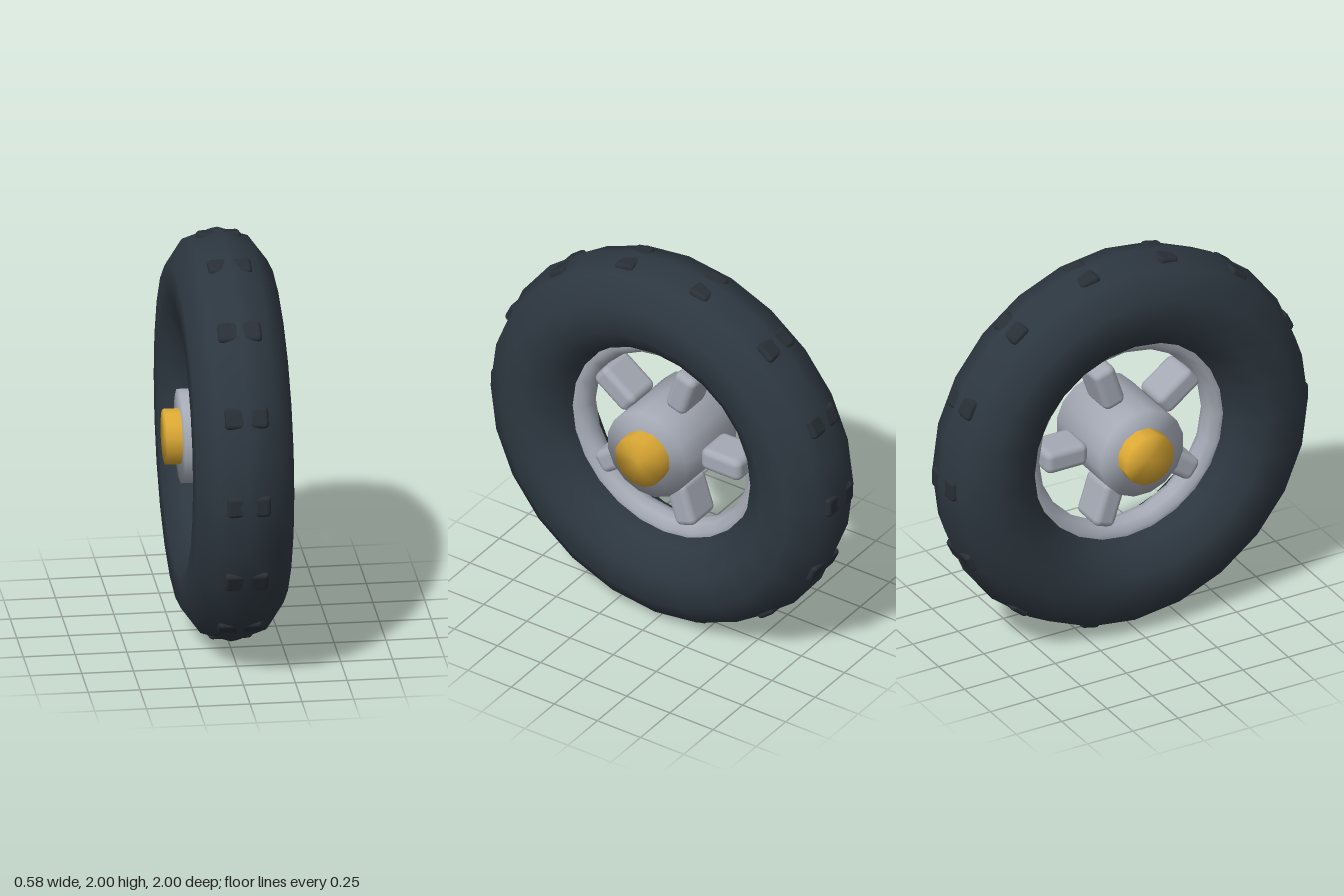
import * as THREE from 'three';
import { mergeVertices } from 'three/addons/utils/BufferGeometryUtils.js';
import { RoundedBoxGeometry } from 'three/addons/geometries/RoundedBoxGeometry.js';

const material = (name, color) => {
  const m = new THREE.MeshStandardMaterial({ color });
  m.name = name;
  return m;
};

// Ring whose axle runs along x
const ring = (radius, tube, tubeSides, segments) =>
  new THREE.TorusGeometry(radius, tube, tubeSides, segments).rotateY(Math.PI / 2);

// Solid drum along x, shaded smoothly over its edges
function drum(radius, length, sides) {
  const g = new THREE.CylinderGeometry(radius, radius, length, sides);
  g.rotateY(Math.PI / sides).rotateZ(Math.PI / 2);
  g.deleteAttribute('normal');
  g.deleteAttribute('uv');
  const smooth = mergeVertices(g, 1e-4);
  smooth.computeVertexNormals();
  return smooth;
}

export function createModel() {
  const rubber = material('dark rubber', 0x2d3740);
  const treadRubber = material('tread rubber', 0x282f36);
  const metal = material('grey metal', 0xa4a9b4);
  const gold = material('gold', 0xdba834);

  const model = new THREE.Group();
  model.name = 'wheel';
  const wheel = new THREE.Group();
  wheel.name = 'wheelAssembly';
  wheel.position.y = 1;
  model.add(wheel);

  const add = (name, geometry, mat) => {
    const mesh = new THREE.Mesh(geometry, mat);
    mesh.name = name;
    wheel.add(mesh);
    return mesh;
  };

  // Repeats a part around the axle, starting at the back (-z)
  const repeat = (name, count, geometry, mat) => {
    for (let i = 0; i < count; i++) {
      add(name, geometry, mat).rotation.x = (i / count) * Math.PI * 2;
    }
  };

  // Tyre and inner rim
  add('tyre', ring(0.753, 0.247, 10, 24), rubber);
  add('rim', ring(0.53, 0.073, 10, 20), metal);

  // Hub with the axle ending in a cap on each side
  add('hub', drum(0.23, 0.43, 16), metal);
  add('axleCaps', drum(0.135, 0.58, 12), gold);

  // Five broad spokes
  const spoke = new RoundedBoxGeometry(0.2, 0.12, 0.23, 2, 0.035);
  spoke.translate(0, 0, -0.34);
  repeat('spoke', 5, spoke, metal);

  // Tread blocks sunk into the crown of the tyre
  const block = new RoundedBoxGeometry(0.21, 0.105, 0.05, 2, 0.02);
  block.translate(0, 0, -0.961);
  repeat('treadBlock', 14, block, treadRubber);

  return model;
}
